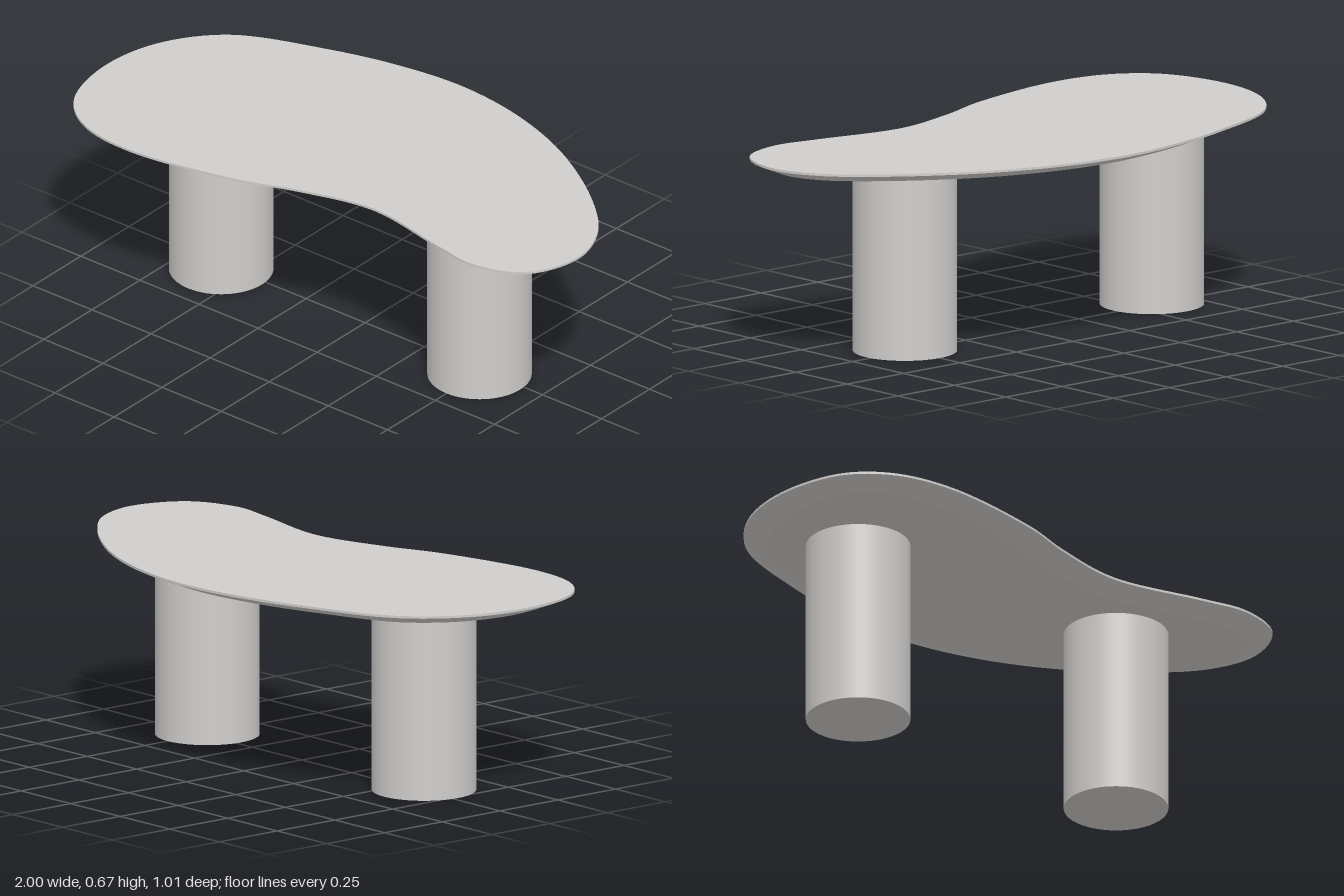
import * as THREE from 'three';
import { mergeGeometries } from 'three/addons/utils/BufferGeometryUtils.js';

// Kidney-shaped outline as (x, z), going round from the back towards +x
const OUTLINE = [
  [0, -0.51], [0.26, -0.475], [0.53, -0.375], [0.81, -0.19], [0.95, -0.04], [1, 0.125],
  [0.93, 0.305], [0.76, 0.375], [0.6, 0.355], [0.27, 0.298], [0, 0.36], [-0.2, 0.433],
  [-0.6, 0.503], [-0.81, 0.468], [-0.94, 0.36], [-1, 0.13], [-0.957, -0.1],
  [-0.81, -0.29], [-0.5, -0.42], [-0.25, -0.485],
];
const SAMPLES = 160;
const TOP = 0.667, LIP = 0.659, UNDER = 0.628, INSET = 0.077;
const LEG_RADIUS = 0.172, LEG_Z = 0.02;

// Outline ring at height y, moved inwards along its normals
function ring(curve, y, inset) {
  return Array.from({ length: SAMPLES }, (_, i) => {
    const p = curve.getPointAt(i / SAMPLES);
    const t = curve.getTangentAt(i / SAMPLES);
    return new THREE.Vector3(p.x - t.z * inset, y, p.z + t.x * inset);
  });
}

// Closed strip between two rings, smooth around its length
function band(upper, lower) {
  const n = upper.length;
  const geo = new THREE.BufferGeometry().setFromPoints([...upper, ...lower]);
  const index = [];
  for (let i = 0; i < n; i++) {
    const j = (i + 1) % n;
    index.push(i, j, n + j, i, n + j, n + i);
  }
  geo.setIndex(index);
  geo.computeVertexNormals();
  return geo;
}

// Flat face filling a ring, turned up (side = 1) or down (side = -1)
function cap(points, side) {
  const shape = new THREE.Shape(points.map((p) => new THREE.Vector2(p.x, -side * p.z)));
  const geo = new THREE.ShapeGeometry(shape);
  geo.rotateX(-side * Math.PI / 2);
  geo.translate(0, points[0].y, 0);
  geo.deleteAttribute('uv');
  return geo;
}

export function createModel() {
  const model = new THREE.Group();
  model.name = 'table';
  const stone = new THREE.MeshStandardMaterial({ color: 0xd0cecc });
  stone.name = 'warm grey';

  // Table top: thin upright lip above a wide undercut bevel
  const curve = new THREE.CatmullRomCurve3(
    OUTLINE.map(([x, z]) => new THREE.Vector3(x, 0, z)), true, 'centripetal');
  const top = ring(curve, TOP, 0);
  const lip = ring(curve, LIP, 0);
  const under = ring(curve, UNDER, INSET);
  const tableTop = new THREE.Mesh(
    mergeGeometries([cap(top, 1), band(top, lip), band(lip, under), cap(under, -1)]), stone);
  tableTop.name = 'tableTop';
  model.add(tableTop);

  // Two drum legs
  const legGeometry = new THREE.CylinderGeometry(LEG_RADIUS, LEG_RADIUS, UNDER, 64);
  for (const [name, x] of [['rightLeg', -0.593], ['leftLeg', 0.5]]) {
    const leg = new THREE.Mesh(legGeometry, stone);
    leg.name = name;
    leg.position.set(x, UNDER / 2, LEG_Z);
    model.add(leg);
  }
  return model;
}
